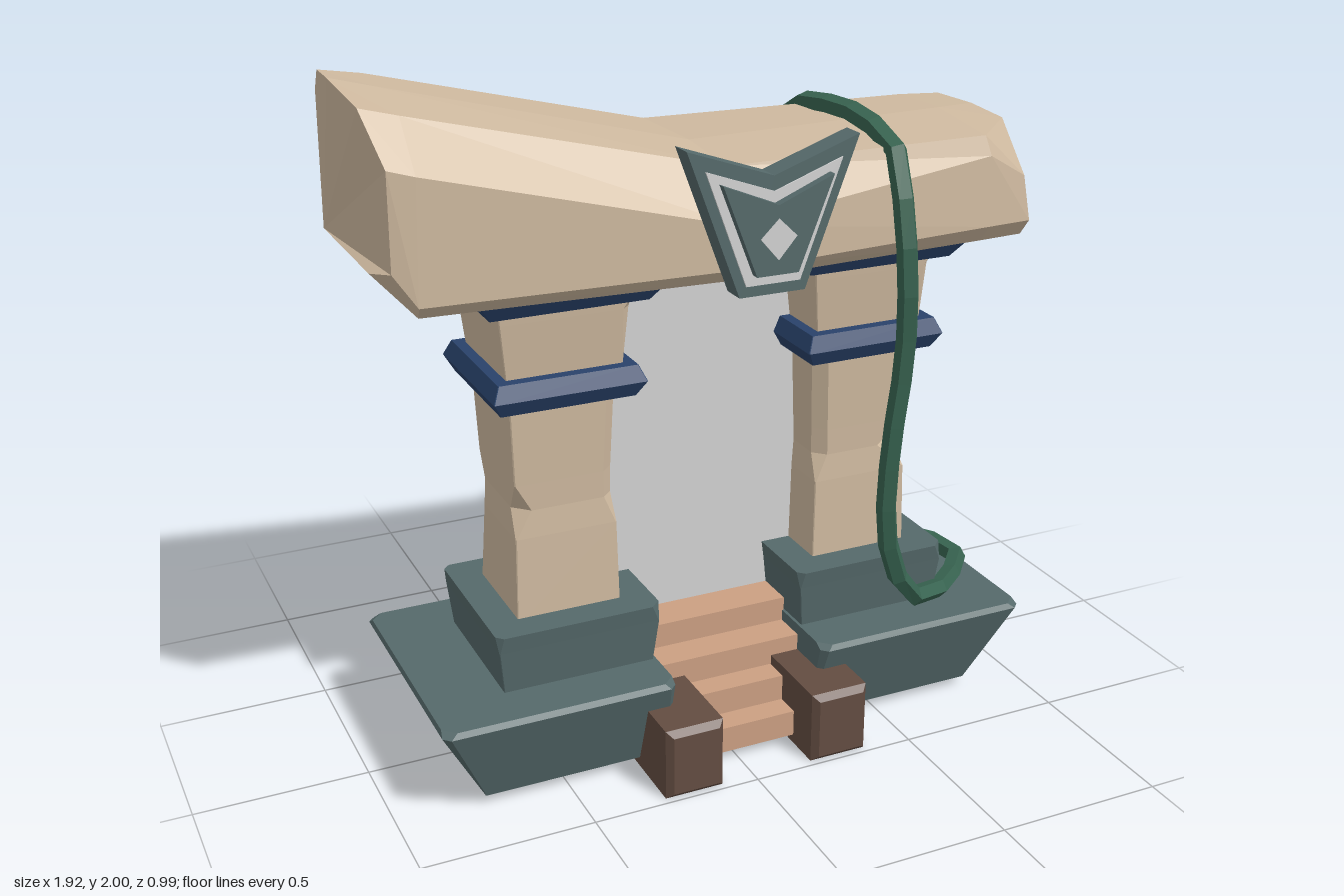
import * as THREE from 'three';

const mat = (name, color) => {
  const m = new THREE.MeshStandardMaterial({ color });
  m.name = name;
  m.flatShading = true;
  return m;
};

// Faceted solid through rings that run counter-clockwise seen from the last ring
function loft(rings) {
  const p = [];
  const tri = (...v) => v.forEach((q) => p.push(...q));
  const n = rings[0].length, end = rings[rings.length - 1];
  for (let i = 0; i < rings.length - 1; i++) {
    for (let j = 0; j < n; j++) {
      const k = (j + 1) % n, a = rings[i], b = rings[i + 1];
      tri(a[j], a[k], b[k]);
      tri(a[j], b[k], b[j]);
    }
  }
  for (let j = 1; j < n - 1; j++) {
    tri(end[0], end[j], end[j + 1]);
    tri(rings[0][0], rings[0][j + 1], rings[0][j]);
  }
  const g = new THREE.BufferGeometry();
  g.setAttribute('position', new THREE.Float32BufferAttribute(p, 3));
  g.computeVertexNormals();
  return g;
}

// Horizontal rectangle with cut corners: front left, front right, back right, back left
function slab(xa, xb, z, y, cuts = [0.002, 0.002, 0.002, 0.002]) {
  const l = Math.min(xa, xb), r = Math.max(xa, xb), [a, b, c, d] = cuts;
  return [[l + a, y, z], [r - b, y, z], [r, y, z - b], [r, y, -z + c],
    [r - c, y, -z], [l + d, y, -z], [l, y, -z + d], [l, y, z - a]];
}

function polygon(points) {
  return new THREE.Shape(points.map(([x, y]) => new THREE.Vector2(x, y)));
}

export function createModel() {
  const model = new THREE.Group();
  const stone = mat('sandstone', 0xceb99f);
  const slate = mat('slate', 0x55696a);
  const navy = mat('navy trim', 0x29426a);
  const wood = mat('dark wood', 0x634c41);
  const plank = mat('plank wood', 0xcb9f82);
  const pale = mat('pale grey', 0xd2d2d2);
  const leaf = mat('vine green', 0x386451);
  pale.side = THREE.DoubleSide;
  const add = (name, geometry, material, parent = model) => {
    const m = new THREE.Mesh(geometry, material);
    m.name = name;
    parent.add(m);
    return m;
  };

  // Lintel: each ring runs bottom front, up the front, over the top and down the back
  const lintel = [
    [[-0.96, 1.56, 0.22], [-0.93, 1.58, 0.32], [-0.93, 1.84, 0.325], [-0.96, 1.97, 0.21], [-0.97, 2, -0.03],
      [-0.955, 1.99, -0.19], [-0.93, 1.91, -0.33], [-0.93, 1.58, -0.34], [-0.96, 1.56, -0.22]],
    [[-0.86, 1.45, 0.29], [-0.87, 1.49, 0.335], [-0.86, 1.82, 0.335], [-0.86, 1.945, 0.22], [-0.86, 1.975, 0],
      [-0.83, 1.965, -0.22], [-0.8, 1.9, -0.345], [-0.87, 1.49, -0.35], [-0.86, 1.45, -0.3]],
    [[-0.02, 1.45, 0.34], [-0.02, 1.49, 0.38], [-0.02, 1.61, 0.38], [-0.02, 1.75, 0.3], [-0.02, 1.77, 0.07],
      [-0.02, 1.765, -0.24], [-0.1, 1.65, -0.41], [-0.02, 1.49, -0.41], [-0.02, 1.45, -0.37]],
    [[0.78, 1.45, 0.3], [0.78, 1.5, 0.34], [0.78, 1.7, 0.33], [0.77, 1.755, 0.31], [0.78, 1.78, 0.05],
      [0.78, 1.775, -0.17], [0.78, 1.63, -0.345], [0.78, 1.5, -0.35], [0.78, 1.45, -0.31]],
    [[0.92, 1.45, 0.29], [0.92, 1.5, 0.33], [0.9, 1.63, 0.32], [0.91, 1.765, 0.18], [0.91, 1.775, 0.02],
      [0.91, 1.77, -0.16], [0.91, 1.62, -0.33], [0.92, 1.5, -0.34], [0.92, 1.45, -0.3]],
  ];
  add('lintel', loft(lintel.map((r) => r.reverse())), stone);

  // One pillar on each side, with its foundation and trim
  for (const [s, cx, label] of [[-1, -0.43, 'right'], [1, 0.505, 'left']]) {
    const g = new THREE.Group();
    g.name = label + 'Pillar';
    model.add(g);
    const sq = (h, y, cuts) => slab(cx - h, cx + h, h, y, cuts);
    const t = 0.003;

    add('foundation', loft([
      slab(cx - s * 0.235, cx + s * 0.315, 0.295, 0.03),
      slab(cx - s * 0.235, cx + s * 0.45, 0.38, 0.285, [0.02, 0.02, 0.02, 0.02]),
      slab(cx - s * 0.235, cx + s * 0.445, 0.37, 0.3, [0.035, 0.035, 0.035, 0.035]),
    ]), slate, g);
    add('plinth', loft([
      sq(0.225, 0.29), sq(0.24, 0.43), sq(0.247, 0.48, [0.02, 0.03, 0.02, 0.02]),
    ]), slate, g);

    // Shaft with worn corners
    const notch = s < 0 ? [0.045, 0.03, 0.03, 0.03] : [0.035, 0.085, 0.03, 0.03];
    const worn = s < 0 ? [t, 0.035, 0.03, t] : [0.035, t, t, 0.03];
    const low = s < 0 ? [t, t, t, 0.035] : [t, t, 0.03, t];
    add('shaft', loft([
      sq(0.155, 0.46), sq(0.15, 0.72, low), sq(0.145, 0.8, notch), sq(0.148, 0.88, worn),
      sq(0.157, 1.1, worn), sq(0.155, 1.14), sq(0.168, 1.2),
      sq(0.188, 1.36, [t, 0.025, t, 0.02]), sq(0.192, 1.4),
    ]), stone, g);
    add('middleBand', loft([sq(0.195, 1.11), sq(0.22, 1.155), sq(0.2, 1.2)]), navy, g);
    add('capital', loft([sq(0.225, 1.39), sq(0.26, 1.44), sq(0.26, 1.46)]), navy, g);
  }

  // Doorway panel
  const panel = add('doorway', new THREE.PlaneGeometry(0.68, 1.15), pale);
  panel.position.set(0.035, 0.885, 0);

  // Steps climbing from the front and the back
  const steps = [[0.03, 0.105, 0.31], [0.11, 0.185, 0.235], [0.19, 0.265, 0.16], [0.27, 0.34, 0.06]];
  for (const side of [1, -1]) {
    for (const [y0, y1, z] of steps) {
      const m = add('step', new THREE.BoxGeometry(0.48, y1 - y0 + 0.004, 0.12), plank);
      m.position.set(0.035, (y0 + y1) / 2, side * z);
    }
  }

  // Chamfered posts beside the steps
  const block = new THREE.ExtrudeGeometry(
    polygon([[-0.07, -0.09], [0.07, -0.09], [0.07, 0.09], [-0.07, 0.09]]),
    { depth: 0.29, bevelSize: 0.018, bevelThickness: 0.018, bevelSegments: 1 },
  );
  block.translate(0, 0, -0.145);
  for (const x of [-0.19, 0.27]) {
    for (const z of [0.332, -0.332]) add('stepPost', block, wood).position.set(x, 0.109, z);
  }

  // Winged shield on the lintel, mirrored about its own axis
  const shield = new THREE.Group();
  shield.name = 'shield';
  shield.position.x = 0.04;
  model.add(shield);
  const badge = (w, top, dip, foot, bottom) =>
    [[-foot, bottom], [foot, bottom], [w, top], [0, dip], [-w, top]];
  const plate = (name, pts, z, depth, material) => {
    const m = add(name, new THREE.ExtrudeGeometry(polygon(pts), { depth, bevelEnabled: false }), material, shield);
    m.position.z = z;
  };
  plate('shieldBack', badge(0.245, 1.84, 1.755, 0.095, 1.44), 0.385, 0.07, slate);
  plate('shieldStripe', badge(0.195, 1.785, 1.715, 0.078, 1.47), 0.452, 0.008, pale);
  plate('shieldCentre', badge(0.158, 1.75, 1.685, 0.06, 1.5), 0.455, 0.03, slate);
  plate('shieldDiamond', [[-0.052, 1.6], [0, 1.54], [0.052, 1.6], [0, 1.65]], 0.48, 0.008, pale);

  // Vine looped over the lintel and around the foundation
  const path = [
    [0.47, 1.75, 0.335], [0.48, 1.8, 0.07], [0.47, 1.77, -0.22], [0.46, 1.6, -0.405], [0.47, 1.28, -0.42],
    [0.48, 0.85, -0.405], [0.48, 0.6, -0.375], [0.56, 0.41, -0.34], [0.76, 0.33, -0.26], [0.92, 0.32, -0.05],
    [0.92, 0.325, 0.07], [0.76, 0.335, 0.24], [0.58, 0.38, 0.32], [0.48, 0.62, 0.355], [0.47, 0.9, 0.38],
    [0.49, 1.18, 0.4], [0.475, 1.45, 0.415],
  ].map((p) => new THREE.Vector3(...p));
  const curve = new THREE.CatmullRomCurve3(path, true, 'catmullrom', 0.3);
  add('vine', new THREE.TubeGeometry(curve, 34, 0.031, 5, true), leaf);

  return model;
}
